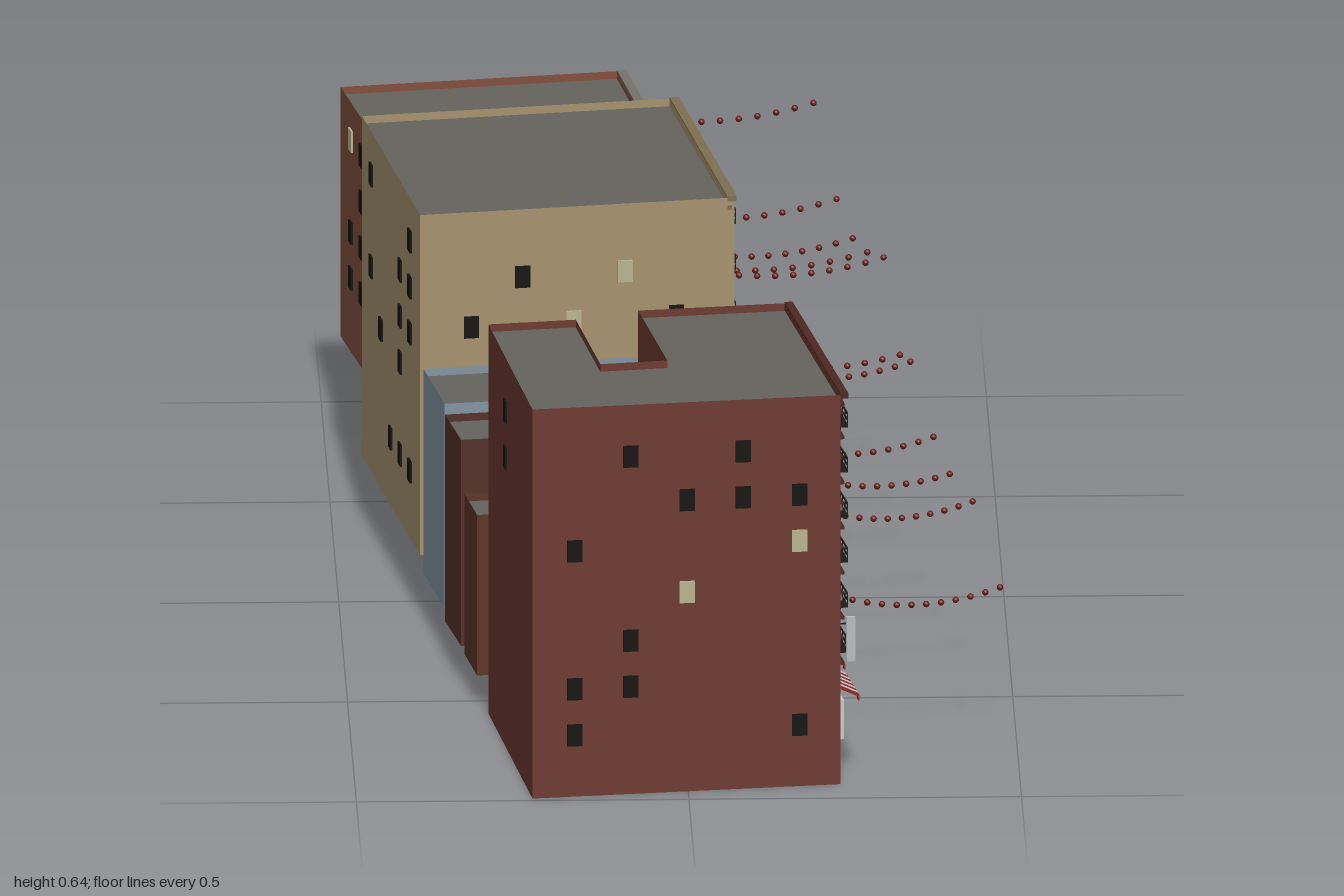
import * as THREE from 'three';

const mats = {};
const mat = (c) => (mats[c] ??= new THREE.MeshStandardMaterial({ color: c, side: THREE.DoubleSide }));
const unitBox = new THREE.BoxGeometry(1, 1, 1);
const DARK = 0x14120f, LIT = 0xb9b692, DIM = 0x6f675c, IRON = 0x1d1918, RED = 0x8c2b28, WHITE = 0xd6d6d6;

let seed = 7;
const rand = () => (seed = (seed * 16807) % 2147483647) / 2147483647;

function box(parent, name, color, w, h, d, x, y, z, rx = 0, rz = 0) {
  const m = new THREE.Mesh(unitBox, mat(color));
  m.name = name;
  m.scale.set(w, h, d);
  m.position.set(x, y, z);
  m.rotation.set(rx, 0, rz);
  parent.add(m);
  return m;
}

// Wall frame: local x runs along the wall, y up, z outward
function wallFrame(parent, name, a, b) {
  const g = new THREE.Group();
  g.name = name;
  g.position.set(a[0], 0, a[1]);
  g.rotation.y = Math.atan2(-(b[1] - a[1]), b[0] - a[0]);
  g.userData.length = Math.hypot(b[0] - a[0], b[1] - a[1]);
  parent.add(g);
  return g;
}

// Open-bottomed shell with a roof just below the wall tops; edge 1 is the street facade
function building(root, { name, color, y0, y1, pts }) {
  const g = new THREE.Group();
  g.name = name;
  root.add(g);
  const walls = pts.map((p, i) => {
    const f = wallFrame(g, i === 1 ? 'streetFacade' : 'wall', p, pts[(i + 1) % pts.length]);
    const L = f.userData.length;
    const m = new THREE.Mesh(new THREE.PlaneGeometry(L, y1 - y0), mat(color));
    m.name = 'wallFace';
    m.position.set(L / 2, (y0 + y1) / 2, 0);
    f.add(m);
    return f;
  });
  const roof = new THREE.Mesh(
    new THREE.ShapeGeometry(new THREE.Shape(pts.map(([x, z]) => new THREE.Vector2(x, -z)))), mat(0x66635e));
  roof.name = 'roof';
  roof.rotation.x = -Math.PI / 2;
  roof.position.y = y1 - 0.012;
  g.add(roof);
  return walls;
}

function windowPane(f, x, y, color, w = 0.023, h = 0.034) {
  box(f, 'window', color, w, h, 0.004, x, y, 0.001);
}

// Sparse windows on plain side walls
function scatterWindows(f, yLow, yHigh, density = 0.35) {
  const L = f.userData.length, n = Math.floor(L / 0.08);
  for (let y = yHigh; y > yLow; y -= 0.0725)
    for (let i = 1; i < n; i++)
      if (rand() < density) windowPane(f, (i * L) / n, y, rand() < 0.2 ? LIT : DARK);
}

// Regular street windows with sill and lintel
function windowGrid(f, cols, rows, yTop, step, trim, pick) {
  const L = f.userData.length;
  for (let r = 0; r < rows; r++)
    for (let c = 0; c < cols; c++) {
      const x = ((c + 0.5) * L) / cols, y = yTop - r * step;
      windowPane(f, x, y, pick(c, r), 0.027, 0.036);
      box(f, 'sill', trim, 0.034, 0.004, 0.01, x, y - 0.02, 0.004);
      box(f, 'lintel', trim, 0.034, 0.005, 0.007, x, y + 0.02, 0.003);
    }
}

function fireEscape(f, x, yTop, levels, step, w) {
  const g = new THREE.Group();
  g.name = 'fireEscape';
  f.add(g);
  for (let i = 0; i < levels; i++) {
    const y = yTop - i * step - 0.022;
    box(g, 'platform', IRON, w, 0.004, 0.026, x, y, 0.013);
    for (const h of [0.01, 0.02]) box(g, 'rail', IRON, w, 0.002, 0.002, x, y + h, 0.025);
    for (let k = 0; k <= 6; k++) box(g, 'baluster', IRON, 0.0015, 0.02, 0.0015, x + (k / 6 - 0.5) * w, y + 0.01, 0.025);
    for (const s of [-1, 1]) box(g, 'endRail', IRON, 0.002, 0.002, 0.026, x + (s * w) / 2, y + 0.02, 0.013);
    if (i < levels - 1)
      box(g, 'stair', IRON, Math.hypot(w * 0.6, step), 0.003, 0.008, x, y - step / 2, 0.018, 0,
        (i % 2 ? 1 : -1) * Math.atan2(step, w * 0.6));
  }
}

// Shutter, awning and valance; height follows the sloping street
function shops(f, zFront, zBack, count, colors) {
  const L = f.userData.length, w = L / count;
  for (let i = 0; i < count; i++) {
    const x = (i + 0.5) * w, z = zFront + ((zBack - zFront) * (i + 0.5)) / count;
    const y = 0.1 + (0.87 - z) * 0.104;
    const g = new THREE.Group();
    g.name = 'shop';
    f.add(g);
    box(g, 'shutter', WHITE, w * 0.9, 0.062, 0.006, x, y, 0.003);
    const n = 10, sw = (w * 0.96) / n;
    for (let k = 0; k < n; k++) {
      const sx = x + (k - (n - 1) / 2) * sw, c = colors[k % colors.length];
      box(g, 'awningStripe', c, sw, 0.003, 0.032, sx, y + 0.044, 0.014, 0.45);
      box(g, 'valance', c, sw, 0.008, 0.002, sx, y + 0.034, 0.028);
    }
  }
}

function cornice(f, y, color, d = 0.014) {
  const L = f.userData.length;
  box(f, 'cornice', color, L, 0.008, d, L / 2, y, d / 2);
  box(f, 'corniceBand', color, L, 0.006, d / 2, L / 2, y - 0.014, d / 4);
}

// Green eave with upswept tips
function eave(f, y, w) {
  const s = new THREE.Shape();
  s.moveTo(-w / 2, 0.014);
  s.quadraticCurveTo(0, -0.002, w / 2, 0.014);
  s.quadraticCurveTo(w * 0.4, -0.014, w * 0.3, -0.014);
  s.lineTo(-w * 0.3, -0.014);
  s.quadraticCurveTo(-w * 0.4, -0.014, -w / 2, 0.014);
  const m = new THREE.Mesh(new THREE.ExtrudeGeometry(s, { depth: 0.034, bevelEnabled: false }), mat(0x2b6b45));
  m.name = 'eave';
  m.position.set(f.userData.length / 2, y, 0);
  f.add(m);
}

function bladeSign(f, x, y, h = 0.07) {
  box(f, 'bladeSign', 0xb9bcbe, 0.005, h, 0.014, x, y, 0.017);
  box(f, 'signBracket', IRON, 0.002, 0.002, 0.02, x, y + h * 0.35, 0.008);
}

// Lantern strings: start x, z, end x, z, height
const strings = [
  [-0.07, -0.95, 0.24, -1, 0.465], [-0.03, -0.765, 0.27, -0.82, 0.37], [0.01, -0.61, 0.29, -0.655, 0.36],
  [0, -0.54, 0.31, -0.585, 0.36], [0.03, -0.37, 0.33, -0.415, 0.405], [0.06, -0.235, 0.35, -0.245, 0.305],
  [0.105, 0.01, 0.36, -0.03, 0.362], [0.14, 0.19, 0.39, 0.15, 0.3], [0.17, 0.31, 0.41, 0.32, 0.295],
  [0.205, 0.527, 0.44, 0.49, 0.305], [0.23, 0.76, 0.475, 0.72, 0.242],
];

export function createModel() {
  const root = new THREE.Group();
  root.name = 'streetRow';
  const rect = (fl, fr, br, bl) => [fl, fr, br, bl];

  // Tall front block with a rear light well
  const F = building(root, { name: 'frontBlock', color: 0x6e3a30, y0: 0, y1: 0.613, pts: [
    [-0.235, 0.99], [0.23, 0.93], [0.158, 0.469], [-0.063, 0.5],
    [-0.026, 0.75], [-0.127, 0.766], [-0.158, 0.543], [-0.29, 0.563]] });
  const frontWindows = [[-1, 6], [1, 6], [0, 5], [1, 5], [2, 5], [-2, 4], [2, 4, 1], [0, 3, 1], [-1, 2], [-2, 1], [-1, 1], [-2, 0], [2, 0]];
  for (const [c, r, lit] of frontWindows) windowPane(F[0], 0.235 + c * 0.0855, 0.097 + r * 0.0725, lit ? LIT : DARK);
  F.slice(2).forEach((f) => scatterWindows(f, 0.32, 0.53));
  windowGrid(F[1], 7, 6, 0.56, 0.071, 0x4e2822, (c, r) => ((c * 5 + r * 3) % 7 < 3 ? DIM : DARK));
  fireEscape(F[1], 0.14, 0.56, 6, 0.071, 0.12);
  fireEscape(F[1], 0.37, 0.56, 6, 0.071, 0.09);
  cornice(F[1], 0.611, 0x4e2822, 0.012);
  shops(F[1], 0.93, 0.469, 4, [RED, WHITE]);
  bladeSign(F[1], 0.01, 0.225);
  bladeSign(F[1], 0.45, 0.23);

  // Two narrow houses with green eaves
  const E = building(root, { name: 'lowHouse', color: 0x5c3527, y0: 0.05, y1: 0.303,
    pts: rect([-0.306, 0.532], [0.158, 0.458], [0.142, 0.352], [-0.322, 0.426]) });
  windowGrid(E[1], 2, 1, 0.262, 0.07, 0x3a2018, () => DARK);
  eave(E[1], 0.297, 0.125);
  box(E[1], 'yellowCanopy', 0xb08a2c, 0.1, 0.005, 0.034, 0.053, 0.215, 0.015, 0.6);
  shops(E[1], 0.458, 0.352, 1, [0xb8692c, WHITE]);

  const D = building(root, { name: 'narrowHouse', color: 0x55302a, y0: 0.06, y1: 0.385,
    pts: rect([-0.327, 0.416], [0.137, 0.342], [0.116, 0.215], [-0.348, 0.289]) });
  windowGrid(D[1], 2, 2, 0.335, 0.068, 0x3a2018, (c, r) => ((c + r) % 2 ? DIM : DARK));
  eave(D[1], 0.388, 0.165);
  shops(D[1], 0.342, 0.215, 1, [0xb8692c, 0xb8692c, WHITE]);
  bladeSign(D[1], 0.005, 0.26);

  // Blue-grey house with red-framed glazing
  const C = building(root, { name: 'blueHouse', color: 0x8395a2, y0: 0.075, y1: 0.397,
    pts: rect([-0.348, 0.273], [0.116, 0.204], [0.09, 0.024], [-0.375, 0.098]) });
  const cl = C[1].userData.length;
  for (let i = 0; i < 4; i++) box(C[1], 'redPost', RED, 0.012, 0.15, 0.012, 0.008 + (i * (cl - 0.016)) / 3, 0.32, 0.006);
  for (const y of [0.25, 0.32, 0.392]) box(C[1], 'redBand', RED, cl, 0.012, 0.014, cl / 2, y, 0.007);
  for (let i = 0; i < 3; i++)
    for (const y of [0.285, 0.356]) windowPane(C[1], ((i + 0.5) * cl) / 3, y, (i + (y > 0.3)) % 2 ? DARK : 0x9fb3bf, 0.03, 0.04);
  shops(C[1], 0.204, 0.024, 2, [RED, WHITE]);

  // Tan tenement with projecting bays and balconies
  const B = building(root, { name: 'tanBlock', color: 0xa6946f, y0: 0.1, y1: 0.636,
    pts: rect([-0.38, 0.087], [0.084, 0.013], [0.01, -0.485], [-0.454, -0.41]) });
  const bl = B[1].userData.length;
  for (const [c, y, lit] of [[1, 0.455], [2, 0.53], [3, 0.455, 1], [4, 0.53, 1], [5, 0.455]])
    windowPane(B[0], (c * 0.47) / 6, y, lit ? LIT : DARK);
  scatterWindows(B[2], 0.56, 0.6, 0.4);
  scatterWindows(B[3], 0.17, 0.57, 0.4);
  windowGrid(B[1], 7, 5, 0.595, 0.073, 0x7d6f52, (c, r) => (c % 2 ? DARK : (c + r) % 3 ? 0x8a7d62 : DARK));
  for (let i = 0; i < 4; i++) {
    const x = ((i * 2 + 0.5) * bl) / 7;
    for (const s of [-1, 1]) box(B[1], 'pilaster', 0xa6946f, 0.009, 0.37, 0.012, x + s * 0.026, 0.445, 0.006);
    const arch = new THREE.Mesh(new THREE.CylinderGeometry(0.03, 0.03, 0.014, 16, 1, false, Math.PI / 2, Math.PI), mat(0x7d6f52));
    arch.name = 'archedGable';
    arch.rotation.x = Math.PI / 2;
    arch.scale.z = 0.3;
    arch.position.set(x, 0.629, 0.008);
    B[1].add(arch);
  }
  for (let i = 0; i < 3; i++) fireEscape(B[1], ((i * 2 + 1.5) * bl) / 7, 0.595, 5, 0.073, 0.07);
  cornice(B[1], 0.634, 0x7d6f52);
  shops(B[1], 0.013, -0.485, 5, [RED, WHITE]);
  bladeSign(B[1], bl - 0.02, 0.34);

  // Rear brick block
  const A = building(root, { name: 'rearBlock', color: 0x834f3c, y0: 0.155, y1: 0.548,
    pts: rect([-0.406, -0.432], [0, -0.495], [-0.058, -0.903], [-0.475, -0.835]) });
  scatterWindows(A[2], 0.23, 0.49, 0.45);
  scatterWindows(A[3], 0.23, 0.49, 0.4);
  windowGrid(A[1], 4, 3, 0.5, 0.07, 0x5f372a, (c, r) => ((c + r * 2) % 4 === 1 ? DIM : DARK));
  fireEscape(A[1], 0.15, 0.5, 3, 0.07, 0.11);
  cornice(A[1], 0.546, 0x77726a, 0.014);
  shops(A[1], -0.495, -0.903, 4, [RED, WHITE]);
  bladeSign(A[1], A[1].userData.length - 0.01, 0.36);

  // Lantern strings over the street
  const bead = new THREE.SphereGeometry(0.005, 8, 6);
  for (const [x0, z0, x1, z1, y] of strings) {
    const g = new THREE.Group();
    g.name = 'lanternString';
    for (let i = 0; i <= 11; i++) {
      const t = i / 11, m = new THREE.Mesh(bead, mat(0x6b1f1a));
      m.name = 'lantern';
      m.position.set(x0 + (x1 - x0) * t, y - 0.08 * t * (1 - t), z0 + (z1 - z0) * t);
      g.add(m);
    }
    root.add(g);
  }
  return root;
}
